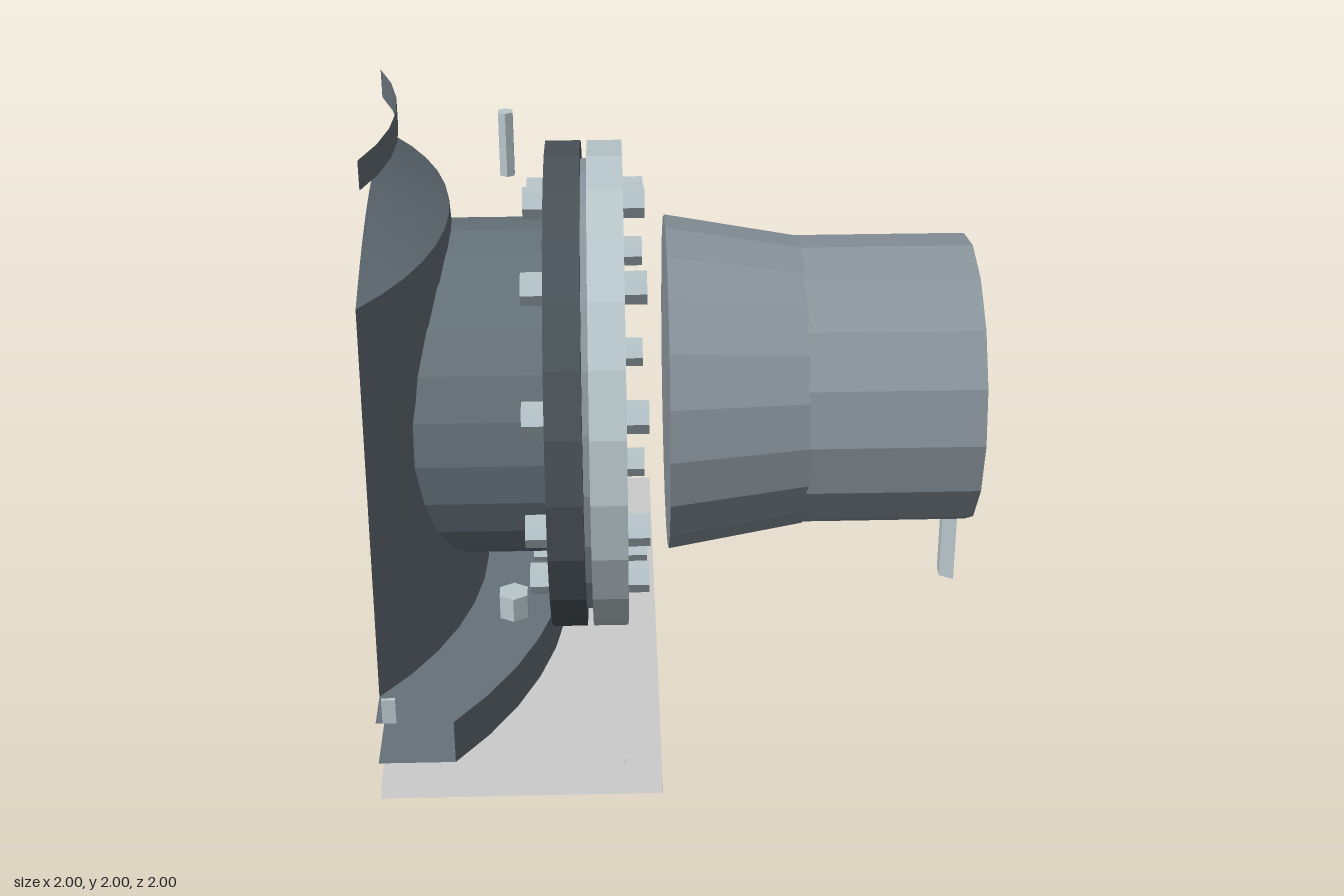
import * as THREE from 'three';

const AXIS_X = -1.98; // vertical axis of the round vessel
const PIPE_Y = 1.0; // height of the horizontal pipe axis
const CUT = -1 - AXIS_X; // distance from vessel axis to the cut plane

const mat = (color, flatShading = true) =>
  new THREE.MeshStandardMaterial({ color, flatShading, side: THREE.DoubleSide });
const slate = mat(0x66727a);
const slateSmooth = mat(0x66727a, false);
const darkSteel = mat(0x4a5359);
const paleSteel = mat(0xb9c7cc);
const pipeSteel = mat(0x8a959d);
const concrete = mat(0xcccccc);

// Part of a surface of revolution about the vessel axis, kept inside x >= -1, |z| <= 1
function vesselSector(profile, n) {
  const pos = [], idx = [];
  profile.forEach(([r, y], i) => {
    const max = Math.min(Math.acos(Math.min(1, CUT / r)), Math.asin(Math.min(1, 1 / r)));
    for (let j = 0; j <= n; j++) {
      const t = (2 * j / n - 1) * max;
      pos.push(AXIS_X + r * Math.cos(t), y, r * Math.sin(t));
      if (i === 0 || j === 0) continue;
      const d = i * (n + 1) + j, b = d - n - 1;
      idx.push(b - 1, d - 1, b, b, d - 1, d);
    }
  });
  const g = new THREE.BufferGeometry();
  g.setAttribute('position', new THREE.Float32BufferAttribute(pos, 3));
  g.setIndex(idx);
  g.computeVertexNormals();
  return g;
}

// Profile from radius r at height y in to the cut plane at height yCut, finer towards the cut
function profileToCut(r, y, yCut) {
  const steps = 8, points = [];
  for (let i = 0; i <= steps; i++) {
    const k = (1 - i / steps) ** 2;
    points.push([CUT + (r - CUT) * k, yCut + (y - yCut) * k]);
  }
  return points;
}

// Surface of revolution about the pipe axis; profile points are [radius, x]
function pipeLathe(profile, sides) {
  const g = new THREE.LatheGeometry(profile.map(([r, x]) => new THREE.Vector2(r, x)), sides);
  return g.rotateZ(-Math.PI / 2).translate(0, PIPE_Y, 0);
}
// Closed disc or frustum between two positions along the pipe axis
const pipeSolid = (x0, r0, x1, r1, sides) =>
  pipeLathe([[0, x0], [r0, x0], [r1, x1], [0, x1]], sides);

export function createModel() {
  const model = new THREE.Group();
  const add = (name, geometry, material, x = 0, y = 0, z = 0) => {
    const m = new THREE.Mesh(geometry, material);
    m.name = name;
    m.position.set(x, y, z);
    model.add(m);
  };

  // Stepped base, open at its ends
  const horizontal = (x0, x1, y) =>
    new THREE.PlaneGeometry(x1 - x0, 2).rotateX(-Math.PI / 2).translate((x0 + x1) / 2, y, 0);
  const vertical = (y0, y1, x) =>
    new THREE.PlaneGeometry(2, y1 - y0).rotateY(Math.PI / 2).translate(x, (y0 + y1) / 2, 0);
  add('baseBottom', horizontal(-1, -0.08, 0), concrete);
  add('baseEdge', vertical(0, 0.035, -0.08), concrete);
  add('baseShelf', horizontal(-1, -0.08, 0.035), concrete);
  add('plinthEdge', vertical(0.035, 0.14, -0.2), concrete);
  add('plinthTop', horizontal(-1, -0.2, 0.14), concrete);

  // Vessel foot: round slab, closed above and below
  const slabFace = (y) => [[1.585, y], ...profileToCut(1.4, y, y)];
  add('footUnderside', vesselSector(slabFace(0.142), 12), slate);
  add('footEdge', vesselSector([[1.585, 0.142], [1.585, 0.3]], 12), slate);
  add('footTop', vesselSector(slabFace(0.3), 12), slate);

  // Tapered vessel wall, sloping shoulder and upper rim
  add('vesselWall', vesselSector([[1.3, 0.3], [1.22, 1.64]], 12), slate);
  add('shoulder', vesselSector(profileToCut(1.22, 1.64, 1.8), 12), slateSmooth);
  add('upperRim', vesselSector([[1.065, 1.9], [1.065, 2]], 6), slate);

  // Neck running through the vessel wall
  add('neck', pipeLathe([[0.58, -1], [0.58, -0.43]], 24), slate);

  // Flange pair with a blind disc between
  add('innerFlange', pipeSolid(-0.44, 0.84, -0.322, 0.84, 24), darkSteel);
  add('outerFlange', pipeSolid(-0.3, 0.84, -0.182, 0.84, 24), paleSteel);
  add('blindDisc', pipeSolid(-0.322, 0.78, -0.3, 0.78, 24), pipeSteel);

  // Flange bolts, heads on both sides
  const hex = (r, h) => new THREE.CylinderGeometry(r, r, h, 6);
  const head = hex(0.054, 0.075).rotateZ(Math.PI / 2);
  for (let i = 0; i < 10; i++) {
    const a = (i / 10) * Math.PI * 2;
    for (const x of [-0.477, -0.147])
      add('flangeBolt', head, paleSteel, x, PIPE_Y + 0.675 * Math.cos(a), 0.675 * Math.sin(a));
  }

  // Closed reducer and open straight pipe
  add('reducer', pipeSolid(-0.04, 0.58, 0.42, 0.5, 20), pipeSteel);
  add('pipe', pipeLathe([[0.5, 0.415], [0.5, 1]], 16), pipeSteel);

  // Drain stub, cut in half at the pipe end
  add('drainStub', new THREE.CylinderGeometry(0.055, 0.055, 0.32, 3, 1, false, Math.PI, Math.PI),
    paleSteel, 1, 0.36, 0);

  // Foot bolts, with thin slices of the next ones at the cut corners
  for (const s of [-1, 1]) {
    add('footBolt', hex(0.055, 0.09), paleSteel, -0.575, 0.345, s * 0.377);
    add('cornerBolt', new THREE.BoxGeometry(0.045, 0.09, 0.012), paleSteel, -0.955, 0.345, s * 0.994);
  }

  // Low nut and upright rod
  add('lowNut', hex(0.075, 0.04), paleSteel, -0.34, 0.16, 0);
  add('uprightRod', hex(0.027, 0.22), paleSteel, -0.56, 1.89, 0);

  return model;
}
